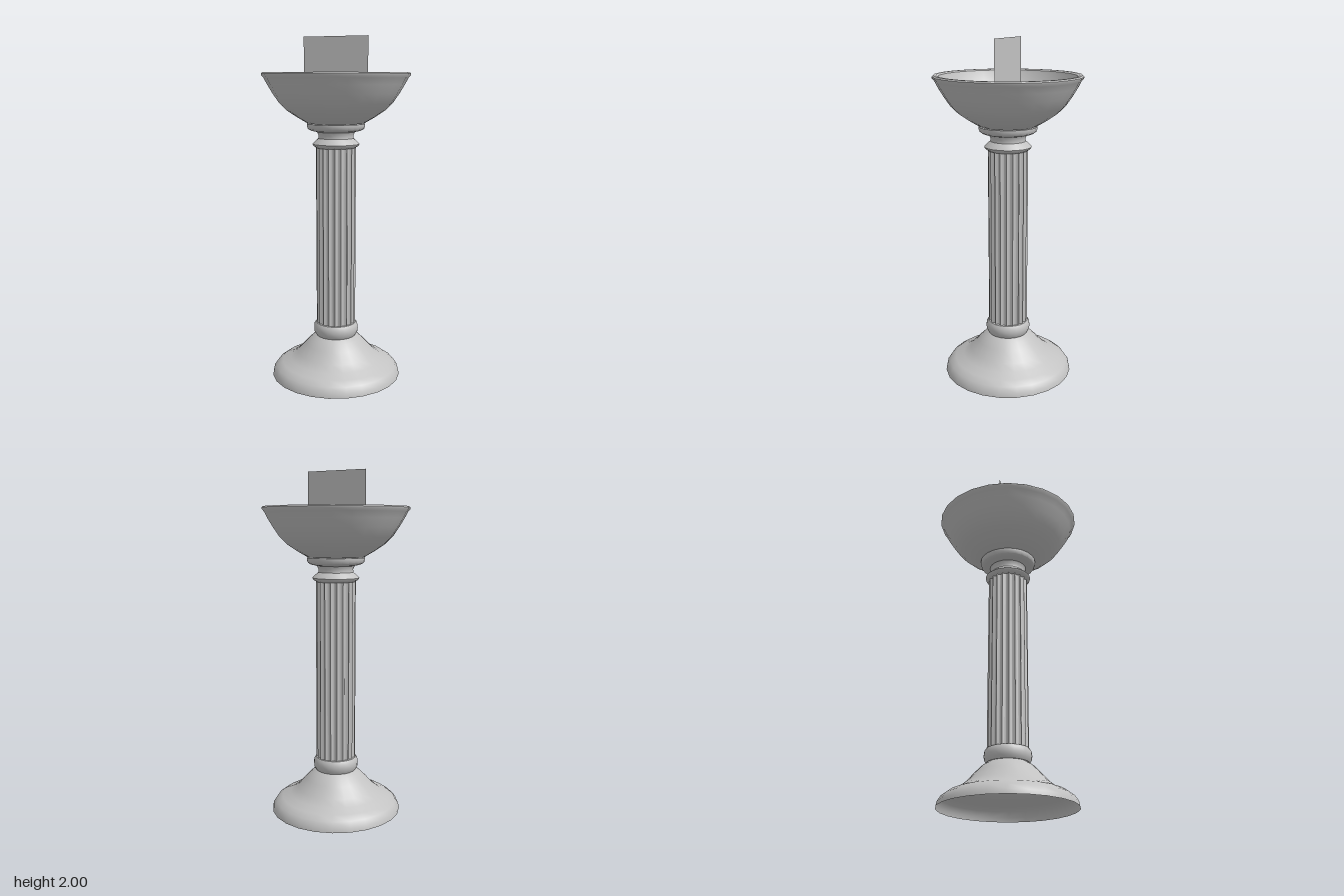
import * as THREE from 'three';
import { toCreasedNormals } from 'three/addons/utils/BufferGeometryUtils.js';

export function createModel() {
  const group = new THREE.Group();
  const stone = new THREE.MeshStandardMaterial({ color: 0xc2c2c2, side: THREE.DoubleSide });
  stone.name = 'grey stone';
  const blue = new THREE.MeshStandardMaterial({ color: 0x3038e6, side: THREE.DoubleSide });
  blue.name = 'water blue';

  const add = (name, geometry, material) => {
    const mesh = new THREE.Mesh(geometry, material);
    mesh.name = name;
    group.add(mesh);
  };
  const turned = (name, profile, crease = 0.7) => {
    const points = profile.map(([r, y]) => new THREE.Vector2(r, y));
    add(name, toCreasedNormals(new THREE.LatheGeometry(points, 24), crease), stone);
  };

  // Hollow flared foot, open underneath
  turned('base', [[0.385, 0], [0.38, 0.025], [0.36, 0.055], [0.325, 0.08], [0.275, 0.1],
    [0.23, 0.135], [0.18, 0.19], [0.145, 0.225], [0.115, 0.245]]);

  // Rounded ring between foot and shaft
  turned('lowerCollar', [[0, 0.245], [0.12, 0.245], [0.13, 0.262], [0.133, 0.285],
    [0.13, 0.308], [0.12, 0.323], [0, 0.323]]);

  // Shaft with concave flutes
  const flutes = 20, steps = 6;
  const shaft = new THREE.CylinderGeometry(1, 1, 1.06, flutes * steps, 1, true);
  const p = shaft.attributes.position;
  for (let i = 0; i < p.count; i++) {
    const a = Math.atan2(p.getZ(i), p.getX(i));
    const r = 0.116 - 0.013 * Math.abs(Math.sin(a * flutes / 2));
    p.setXYZ(i, r * Math.cos(a), p.getY(i) + 0.85, r * Math.sin(a));
  }
  shaft.computeVertexNormals();
  add('flutedShaft', toCreasedNormals(shaft, 0.6), stone);

  // Moulded capital carrying the bowl
  turned('capital', [[0, 1.373], [0.112, 1.373], [0.132, 1.386], [0.136, 1.396], [0.12, 1.412],
    [0.102, 1.428], [0.1, 1.445], [0.11, 1.465], [0.145, 1.473], [0.162, 1.483],
    [0.168, 1.5], [0.168, 1.512], [0, 1.515]]);

  // Bowl: outside wall, rolled lip, inside wall
  turned('bowl', [[0, 1.505], [0.165, 1.515], [0.225, 1.55], [0.28, 1.587], [0.325, 1.63],
    [0.362, 1.685], [0.392, 1.735], [0.41, 1.77], [0.422, 1.784], [0.424, 1.793], [0.416, 1.8],
    [0.4, 1.8], [0.389, 1.793], [0.385, 1.78], [0.366, 1.735], [0.335, 1.68], [0.29, 1.63],
    [0.23, 1.585], [0.15, 1.555], [0, 1.54]]);

  // Rippled water with a ragged, notched shoreline
  const shore = [[0.29, 0.03], [0.27, 0.14], [0.205, 0.215], [0.1, 0.28], [0, 0.296], [-0.1, 0.275],
    [-0.19, 0.222], [-0.245, 0.16], [-0.19, 0.08], [-0.215, 0.065], [-0.288, 0.057], [-0.24, 0.02],
    [-0.195, 0], [-0.29, -0.06], [-0.25, -0.12], [-0.205, -0.195], [-0.13, -0.25], [0, -0.275],
    [0.06, -0.288], [0.17, -0.238], [0.25, -0.155], [0.275, -0.07]];
  const outline = [];
  shore.forEach(([x, z], i) => {
    const [nx, nz] = shore[(i + 1) % shore.length];
    for (let k = 0; k < 6; k++) {
      const j = 1 + 0.012 * Math.sin(i * 7.3 + k * 2.6) * Math.min(k, 1);
      outline.push([j * (x + (nx - x) * k / 6), j * (z + (nz - z) * k / 6)]);
    }
  });
  const height = (x, z) => 1.638
    + 0.005 * Math.sin(31 * x + 17 * z) * Math.cos(37 * z - 11 * x)
    + 0.003 * Math.sin(83 * x - 40 * z + 1) * Math.sin(71 * z + 29 * x)
    + 0.025 * Math.exp(-((x - 0.105) ** 2 + (z - 0.05) ** 2) / 0.0008)
    - 0.015 * Math.exp(-((x + 0.05) ** 2 + (z + 0.11) ** 2) / 0.0005);
  const rings = 32, n = outline.length, verts = [], index = [];
  for (let r = 0; r <= rings; r++) {
    for (const [ox, oz] of outline) {
      const x = ox * r / rings, z = oz * r / rings;
      verts.push(x, height(x, z), z);
    }
  }
  for (let r = 0; r < rings; r++) {
    for (let i = 0; i < n; i++) {
      const a = r * n + i, b = r * n + (i + 1) % n;
      if (r > 0) index.push(a, b, a + n);
      index.push(b, b + n, a + n);
    }
  }
  const water = new THREE.BufferGeometry();
  water.setAttribute('position', new THREE.Float32BufferAttribute(verts, 3));
  water.setIndex(index);
  water.computeVertexNormals();
  // The centre vertices coincide, so give them one shared normal
  for (let i = 0; i < n; i++) water.attributes.normal.setXYZ(i, 0, 1, 0);
  add('water', water, blue);

  // Thin upright panel standing in the water
  const panel = new THREE.PlaneGeometry(0.39, 0.39);
  panel.translate(-0.003, 1.805, 0);
  add('uprightPanel', panel, stone);

  return group;
}
